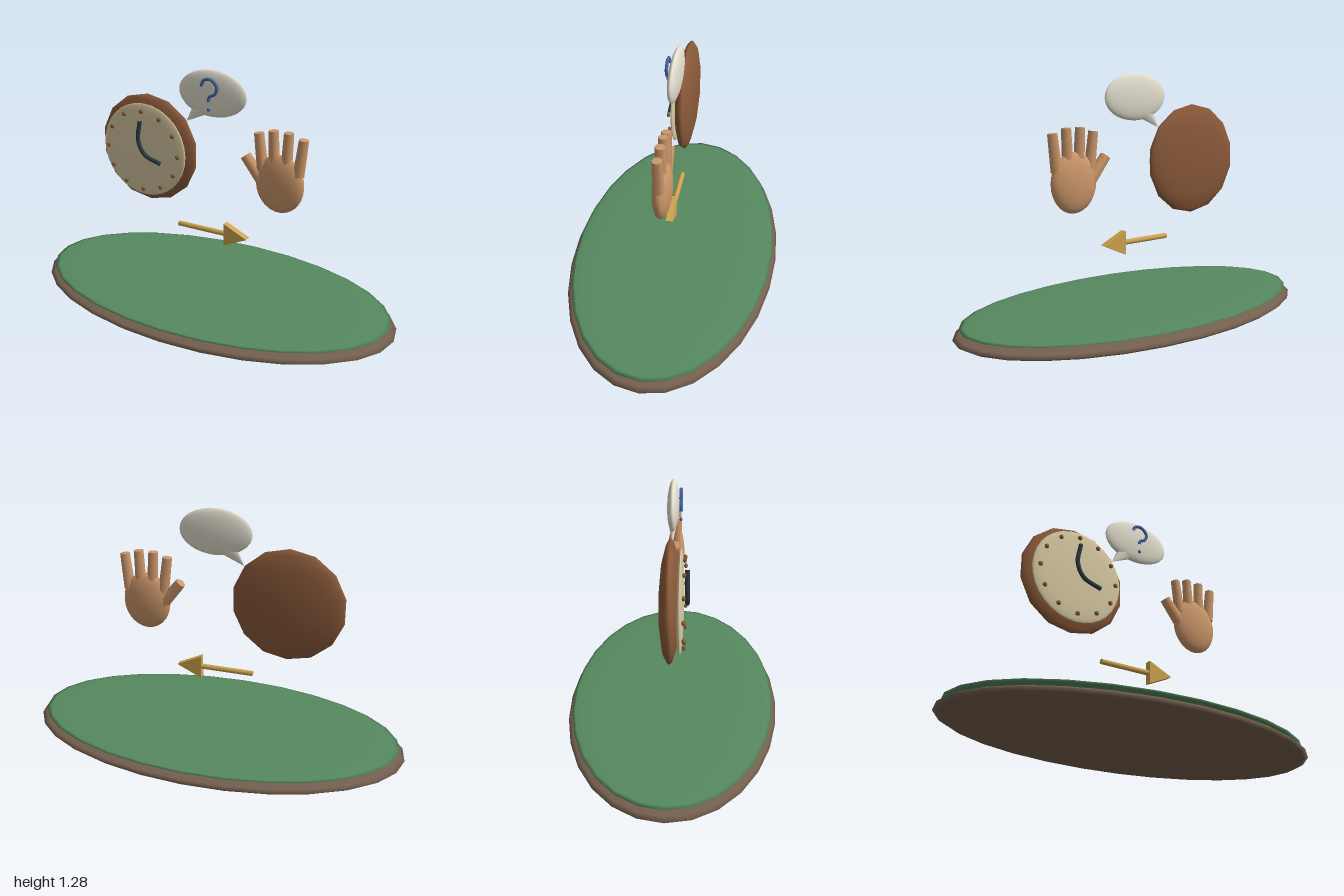
import * as THREE from 'three';

const mat = (color) => new THREE.MeshStandardMaterial({ color });
const wood = mat(0x8b5a3a), skin = mat(0xcc976a), gold = mat(0xcfa550);
const cream = mat(0xd8caa2), ink = mat(0x2c3b42), blue = mat(0x4468a8);
const pale = mat(0xe4e0d0), earth = mat(0x75604f), grass = mat(0x56895f);

const V = (x, y, z = 0) => new THREE.Vector3(x, y, z);

export function createModel() {
  const model = new THREE.Group();

  function add(parent, name, geometry, material, position = V(0, 0)) {
    const mesh = new THREE.Mesh(geometry, material);
    mesh.name = name;
    mesh.position.copy(position);
    parent.add(mesh);
    return mesh;
  }
  function ellipsoid(parent, name, material, position, radii, w = 24, h = 16) {
    const mesh = add(parent, name, new THREE.SphereGeometry(1, w, h), material, position);
    mesh.scale.set(...radii);
    return mesh;
  }
  // Cylinder running from a to b
  function rod(parent, name, material, a, b, r0, r1, sides) {
    const mesh = add(parent, name, new THREE.CylinderGeometry(r1, r0, a.distanceTo(b), sides),
      material, a.clone().lerp(b, 0.5));
    mesh.quaternion.setFromUnitVectors(V(0, 1), b.clone().sub(a).normalize());
    return mesh;
  }
  function tube(parent, name, material, points, radius) {
    const curve = new THREE.CatmullRomCurve3(points);
    return add(parent, name, new THREE.TubeGeometry(curve, 24, radius, 6), material);
  }
  function group(name) {
    const g = new THREE.Group();
    g.name = name;
    model.add(g);
    return g;
  }

  // Oval base with a grassy top
  const base = group('base');
  ellipsoid(base, 'earthBase', earth, V(0, 0.06), [1, 0.06, 0.546], 28, 14);
  ellipsoid(base, 'grassTop', grass, V(0, 0.105), [0.97, 0.02, 0.525], 28, 14);

  // Clock
  const clock = group('clock');
  const cx = -0.375, cy = 0.82;
  ellipsoid(clock, 'clockBody', wood, V(cx, cy), [0.288, 0.288, 0.052], 24, 7);
  ellipsoid(clock, 'clockFace', cream, V(cx, cy, 0.048), [0.246, 0.248, 0.017], 24, 16);
  for (let i = 0; i < 12; i++) {
    const a = (i * Math.PI) / 6;
    ellipsoid(clock, 'hourMark', wood,
      V(cx + 0.21 * Math.sin(a), cy + 0.21 * Math.cos(a), 0.068), [0.012, 0.012, 0.009], 10, 8);
  }
  tube(clock, 'clockHands', ink, [V(-0.376, 0.985, 0.08), V(-0.39, 0.88, 0.08),
    V(-0.355, 0.808, 0.08), V(-0.256, 0.77, 0.08)], 0.011);

  // Speech bubble with a tail and a question mark
  const bubble = group('speechBubble');
  ellipsoid(bubble, 'bubbleBody', pale, V(0, 1.158), [0.188, 0.118, 0.029], 24, 16);
  const tail = rod(bubble, 'bubbleTail', pale, V(-0.06, 1.085), V(-0.147, 0.998), 0.048, 0, 8);
  tail.scale.z = 0.4;
  tail.quaternion.setFromAxisAngle(V(0, 0, 1), Math.PI * 0.75);
  tube(bubble, 'questionCurve', blue, [V(-0.042, 1.2, 0.038), V(-0.025, 1.231, 0.038),
    V(0.012, 1.236, 0.038), V(0.044, 1.205, 0.038), V(0.035, 1.168, 0.038),
    V(0.005, 1.152, 0.038), V(-0.002, 1.127, 0.038)], 0.008);
  ellipsoid(bubble, 'questionDot', blue, V(0, 1.086, 0.038), [0.009, 0.009, 0.007], 10, 8);

  // Open hand
  const hand = group('hand');
  ellipsoid(hand, 'palm', skin, V(0.373, 0.757), [0.128, 0.15, 0.046], 20, 14);
  const fingers = [[0.28, 0.256, 1.0], [0.343, 0.332, 1.022], [0.403, 0.412, 1.022], [0.468, 0.489, 1.0]];
  for (const [x0, x1, top] of fingers)
    rod(hand, 'finger', skin, V(x0, 0.815), V(x1, top), 0.029, 0.025, 7);
  rod(hand, 'thumb', skin, V(0.285, 0.75), V(0.186, 0.873), 0.032, 0.028, 7);

  // Arrow: round shaft, flat triangular head
  const arrow = group('arrow');
  rod(arrow, 'arrowShaft', gold, V(-0.2, 0.424), V(0.09, 0.424), 0.014, 0.014, 8);
  const head = new THREE.Shape([
    new THREE.Vector2(0.075, 0.364), new THREE.Vector2(0.205, 0.424), new THREE.Vector2(0.075, 0.485)]);
  add(arrow, 'arrowHead', new THREE.ExtrudeGeometry(head, { depth: 0.036, bevelEnabled: false }),
    gold, V(0, 0, -0.018));

  return model;
}
